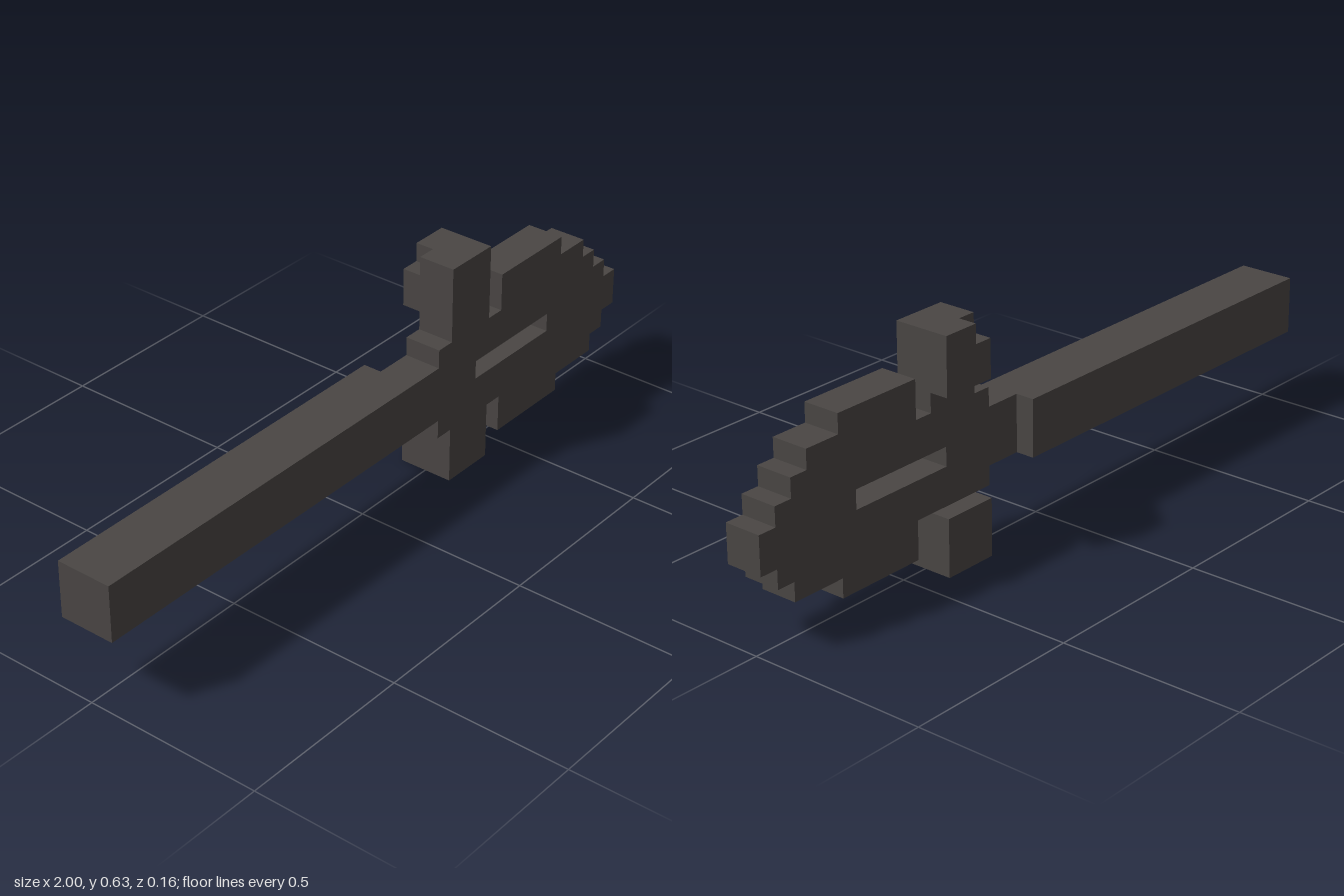
import * as THREE from 'three';

// One block of the grid: the model is 38 x 12 x 3 blocks
const U = 2 / 38;

export function createModel() {
  const group = new THREE.Group();
  const darkStone = new THREE.MeshStandardMaterial({ color: 0x4a4644 });

  const add = (name, geometry) => {
    const mesh = new THREE.Mesh(geometry, darkStone);
    mesh.name = name;
    group.add(mesh);
  };

  // Box between block coordinates; z counts from the back
  const block = (name, [x0, y0, z0], [x1, y1, z1]) => {
    const g = new THREE.BoxGeometry((x1 - x0) * U, (y1 - y0) * U, (z1 - z0) * U);
    g.translate(((x0 + x1) / 2 - 19) * U, ((y0 + y1) / 2) * U, ((z0 + z1) / 2 - 1.5) * U);
    add(name, g);
  };

  const points = (list) => list.map(([x, y]) => new THREE.Vector2((x - 19) * U, y * U));

  // Stepped blade with collar and crossguard front, pierced by a slot
  const outline = new THREE.Shape(points([
    [21, 4], [23, 4], [23, 3], [24, 3], [24, 0], [27, 0], [27, 3], [28, 3],
    [28, 1], [33, 1], [33, 2], [36, 2], [36, 3], [37, 3], [37, 4], [38, 4],
    [38, 6], [37, 6], [37, 7], [36, 7], [36, 8], [35, 8], [35, 9], [33, 9],
    [33, 10], [28, 10], [28, 8], [27, 8], [27, 12], [24, 12], [24, 8],
    [23, 8], [23, 7], [21, 7],
  ]));
  outline.holes.push(new THREE.Path(points([[26, 5], [26, 6], [32, 6], [32, 5]])));
  const blade = new THREE.ExtrudeGeometry(outline, { depth: 2 * U, bevelEnabled: false });
  blade.translate(0, 0, -0.5 * U);
  add('blade', blade);

  // Full-depth square shaft
  block('handle', [0, 4, 0], [21, 7, 3]);

  // Thicker guard ends on the back; the upper one has a chipped corner
  block('lowerGuardBack', [24, 0, 0], [27, 3, 1]);
  block('upperGuardBack', [24, 9, 0], [27, 11, 1]);
  block('upperGuardBackTop', [25, 11, 0], [27, 12, 1]);

  return group;
}
